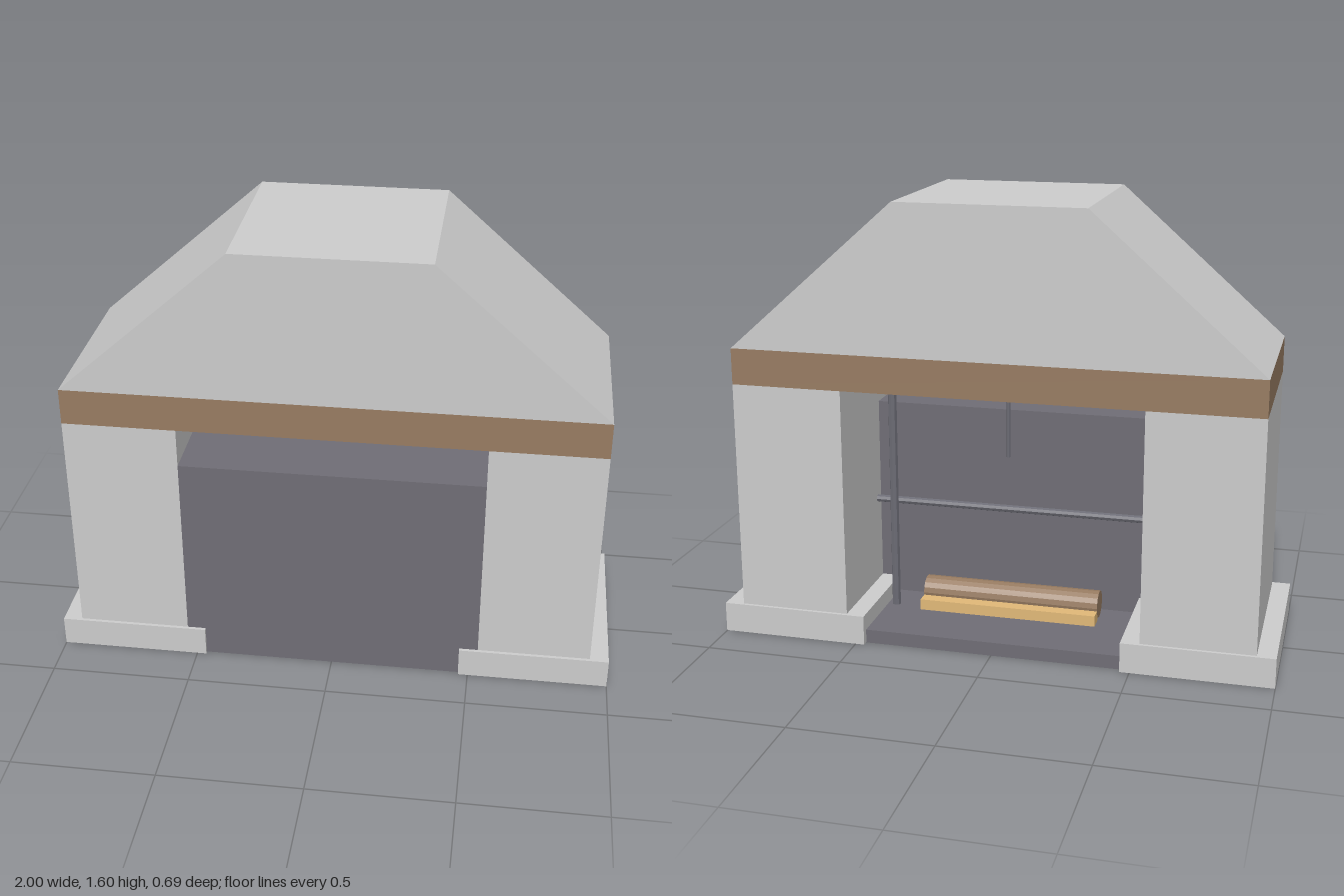
import * as THREE from 'three';

const material = (color) => new THREE.MeshStandardMaterial({ color, flatShading: true });

export function createModel() {
  const model = new THREE.Group();
  model.name = 'fireplace';
  const stone = material(0xcccccc);
  const beamWood = material(0x977b61);
  const soot = material(0x6f6d75);
  const iron = material(0x6b6b74);
  const paleWood = material(0xe0b878);

  const add = (name, geometry, mat) => {
    const mesh = new THREE.Mesh(geometry, mat);
    mesh.name = name;
    model.add(mesh);
    return mesh;
  };

  // Box given by its lower and upper corners
  const block = (name, [x0, y0, z0], [x1, y1, z1], mat) => {
    const mesh = add(name, new THREE.BoxGeometry(x1 - x0, y1 - y0, z1 - z0), mat);
    mesh.position.set((x0 + x1) / 2, (y0 + y1) / 2, (z0 + z1) / 2);
    return mesh;
  };

  // Round bar between two points, with a radius at each end
  const bar = (name, from, to, r0, r1, mat, sides = 8) => {
    const a = new THREE.Vector3(...from);
    const b = new THREE.Vector3(...to);
    const dir = b.clone().sub(a);
    const mesh = add(name, new THREE.CylinderGeometry(r1, r0, dir.length(), sides), mat);
    mesh.position.copy(a).add(b).multiplyScalar(0.5);
    mesh.quaternion.setFromUnitVectors(new THREE.Vector3(0, 1, 0), dir.normalize());
    return mesh;
  };

  // Plinths and pillars on both sides
  for (const [side, s] of [['left', 1], ['right', -1]]) {
    const plinth = block(side + 'Plinth', [-0.267, 0.002, -0.345], [0.267, 0.11, 0.345], stone);
    plinth.position.x = s * 0.733;
    const pillar = block(side + 'Pillar', [-0.2, 0.11, -0.333], [0.2, 0.94, 0.333], stone);
    pillar.position.x = s * 0.733;
  }

  // Hearth slab and the thick fire wall
  block('hearth', [-0.532, 0, -0.32], [0.532, 0.05, 0.33], soot);
  block('fireWall', [-0.533, 0.005, 0.07], [0.533, 0.8, 0.333], soot);

  // Mantel beam
  block('mantel', [-0.933, 0.94, -0.333], [0.933, 1.07, 0.333], beamWood);

  // Tapered chimney hood
  const profile = new THREE.Shape([
    new THREE.Vector2(-0.933, 1.07),
    new THREE.Vector2(0.933, 1.07),
    new THREE.Vector2(0.333, 1.6),
    new THREE.Vector2(-0.333, 1.6),
  ]);
  const hood = new THREE.ExtrudeGeometry(profile, { depth: 0.666, bevelEnabled: false });
  hood.translate(0, 0, -0.333);
  add('hood', hood, stone);

  // Iron crane with a hanging hook, and the cross bar
  bar('cranePost', [0.435, 0.05, -0.06], [0.435, 0.91, -0.06], 0.016, 0.016, iron);
  bar('craneArm', [0.445, 0.903, -0.06], [-0.01, 0.907, -0.06], 0.009, 0.016, iron);
  bar('craneHook', [0, 0.905, -0.06], [0, 0.66, -0.06], 0.007, 0.007, iron);
  bar('crossBar', [-0.533, 0.43, 0.035], [0.533, 0.43, 0.035], 0.014, 0.014, iron);

  // Firewood on the hearth
  bar('log', [-0.33, 0.1, 0], [0.33, 0.1, 0], 0.05, 0.05, beamWood, 16);
  block('splitWood', [-0.33, 0.05, -0.095], [0.33, 0.09, -0.035], paleWood);

  return model;
}
